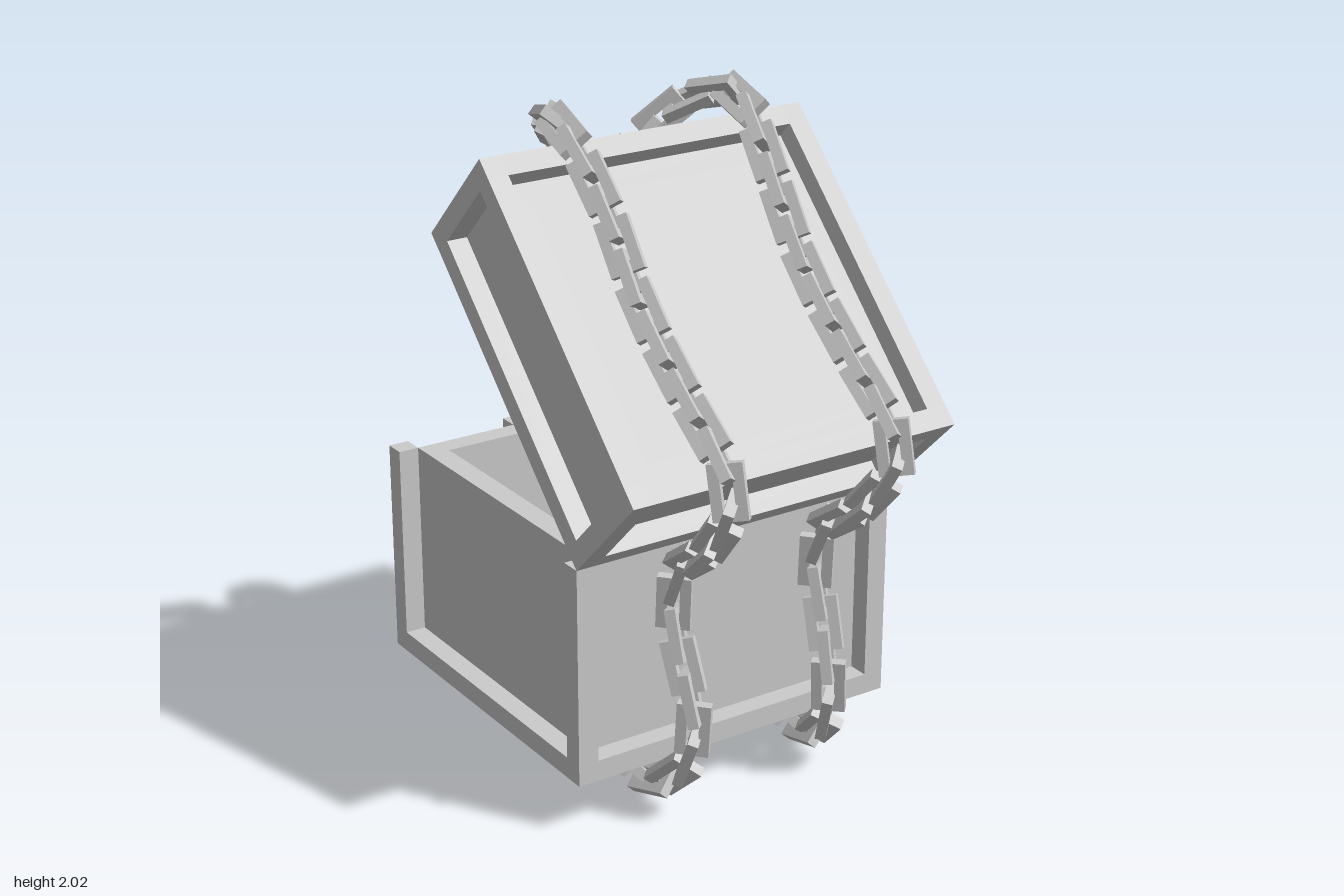
import * as THREE from 'three';

const grey = new THREE.MeshStandardMaterial({ color: 0xcccccc });
const W = 1.09;   // outer width and depth of the chest
const T = 0.065;  // frame bar thickness
const WALL = 0.07;

function box(parent, name, w, h, d, x, y, z) {
  const mesh = new THREE.Mesh(new THREE.BoxGeometry(w, h, d), grey);
  mesh.name = name;
  mesh.position.set(x, y, z);
  parent.add(mesh);
  return mesh;
}

// Rectangle with a rectangular hole, extruded and centred on its depth.
function ring(w, h, holeW, holeH, depth, holeY = 0) {
  const rect = (Type, a, b, cy) => new Type([[-a, -b], [a, -b], [a, b], [-a, b]]
    .map(([x, y]) => new THREE.Vector2(x / 2, cy + y / 2)));
  const shape = rect(THREE.Shape, w, h, 0);
  shape.holes.push(rect(THREE.Path, holeW, holeH, holeY));
  const geo = new THREE.ExtrudeGeometry(shape, { depth, bevelEnabled: false });
  geo.translate(0, 0, -depth / 2);
  return geo;
}

// Four horizontal rails between the corner posts.
function rails(parent, y) {
  const span = W - 2 * T, off = (W - T) / 2;
  for (const s of [-1, 1]) {
    box(parent, 'rail', span, T, T, 0, y, s * off);
    box(parent, 'rail', T, T, span, s * off, y, 0);
  }
}

// Corner posts running from y = 0 to y = h.
function posts(parent, h) {
  const off = (W - T) / 2;
  for (const sx of [-1, 1]) for (const sz of [-1, 1])
    box(parent, 'cornerPost', T, h, T, sx * off, h / 2, sz * off);
}

// Recessed panel walls between two heights.
function walls(parent, y0, y1) {
  const outer = W - 2 * T, inner = outer - 2 * WALL;
  const mesh = new THREE.Mesh(ring(outer, outer, inner, inner, y1 - y0), grey);
  mesh.name = 'panelWalls';
  mesh.rotation.x = -Math.PI / 2;
  mesh.position.y = (y0 + y1) / 2;
  parent.add(mesh);
}

function createBase() {
  const g = new THREE.Group();
  g.name = 'chestBase';
  const h = 0.68, inner = W - 2 * T - 2 * WALL;
  posts(g, h);
  rails(g, T / 2);
  walls(g, T, h);
  box(g, 'floor', inner, WALL, inner, 0, T + WALL / 2, 0);
  // Lock plate with a square opening
  const plate = new THREE.Mesh(ring(0.28, 0.23, 0.14, 0.11, T), grey);
  plate.name = 'lockPlate';
  plate.position.set(0, h - 0.115, -(W - T) / 2);
  g.add(plate);
  g.position.set(0, 0.15, 0.4 - W / 2);
  return g;
}

function createLid() {
  const hinge = new THREE.Group();
  hinge.name = 'lid';
  const g = new THREE.Group();
  g.name = 'lidBody';
  const h = 0.41, inner = W - 2 * T - 2 * WALL;
  posts(g, h);
  rails(g, T / 2);
  rails(g, h - T / 2);
  walls(g, 0, h - T);
  box(g, 'lidPanel', inner, WALL, inner, 0, h - T - WALL / 2, 0);
  // Two lugs above the front rail
  for (const s of [-1, 1])
    box(g, 'lockLug', 0.07, T, T, s * 0.105, T * 1.5, -(W - T) / 2);
  g.position.z = -W / 2;
  hinge.add(g);
  hinge.position.set(0, 0.83, 0.4);
  hinge.rotation.x = Math.PI / 4;
  return hinge;
}

// Path of one chain: over the lid, down the hinge side, under the base, up to the lock.
const chainPath = [
  [0.04, 1.68, -0.31], [0.11, 1.78, -0.3], [0.2, 1.88, -0.25], [0.27, 1.94, -0.16],
  [0.295, 1.955, -0.08], [0.3, 1.92, 0.01], [0.29, 1.84, 0.09], [0.28, 1.7, 0.2],
  [0.28, 1.56, 0.3], [0.28, 1.43, 0.43], [0.28, 1.29, 0.6], [0.28, 1.19, 0.72],
  [0.28, 1.09, 0.75], [0.27, 0.98, 0.69], [0.26, 0.88, 0.59], [0.25, 0.79, 0.48],
  [0.25, 0.67, 0.445], [0.25, 0.52, 0.48], [0.24, 0.35, 0.53], [0.25, 0.2, 0.51],
  [0.27, 0.11, 0.43], [0.28, 0.08, 0.33], [0.28, 0.11, 0.15], [0.29, 0.12, 0],
  [0.3, 0.105, -0.2], [0.32, 0.08, -0.42], [0.35, 0.055, -0.6], [0.35, 0.09, -0.69],
  [0.32, 0.19, -0.745], [0.26, 0.33, -0.755], [0.18, 0.5, -0.73], [0.06, 0.67, -0.69],
];

function createChain(side) {
  const g = new THREE.Group();
  g.name = side > 0 ? 'leftChain' : 'rightChain';
  const curve = new THREE.CatmullRomCurve3(
    chainPath.map(([x, y, z]) => new THREE.Vector3(side * x, y, z)));
  curve.arcLengthDivisions = 600;
  const bar = 0.032, length = 0.16, width = 0.1;
  const link = ring(width, length, width - 2 * bar, length - 2 * bar, bar);
  const count = Math.round(curve.getLength() / (length - 2 * bar));
  for (let i = 0; i < count; i++) {
    const u = (i + 0.5) / count;
    const tangent = curve.getTangentAt(u);
    const across = new THREE.Vector3(1, 0, 0).addScaledVector(tangent, -tangent.x).normalize();
    const basis = new THREE.Matrix4().makeBasis(across, tangent, across.clone().cross(tangent));
    const mesh = new THREE.Mesh(link, grey);
    mesh.name = 'chainLink';
    mesh.position.copy(curve.getPointAt(u));
    mesh.quaternion.setFromRotationMatrix(basis);
    // Neighbouring links cross at right angles
    mesh.rotateY((i % 2 ? 1 : -1) * Math.PI / 4);
    g.add(mesh);
  }
  return g;
}

export function createModel() {
  const model = new THREE.Group();
  model.name = 'chainedChest';
  model.add(createBase(), createLid(), createChain(1), createChain(-1));
  return model;
}
